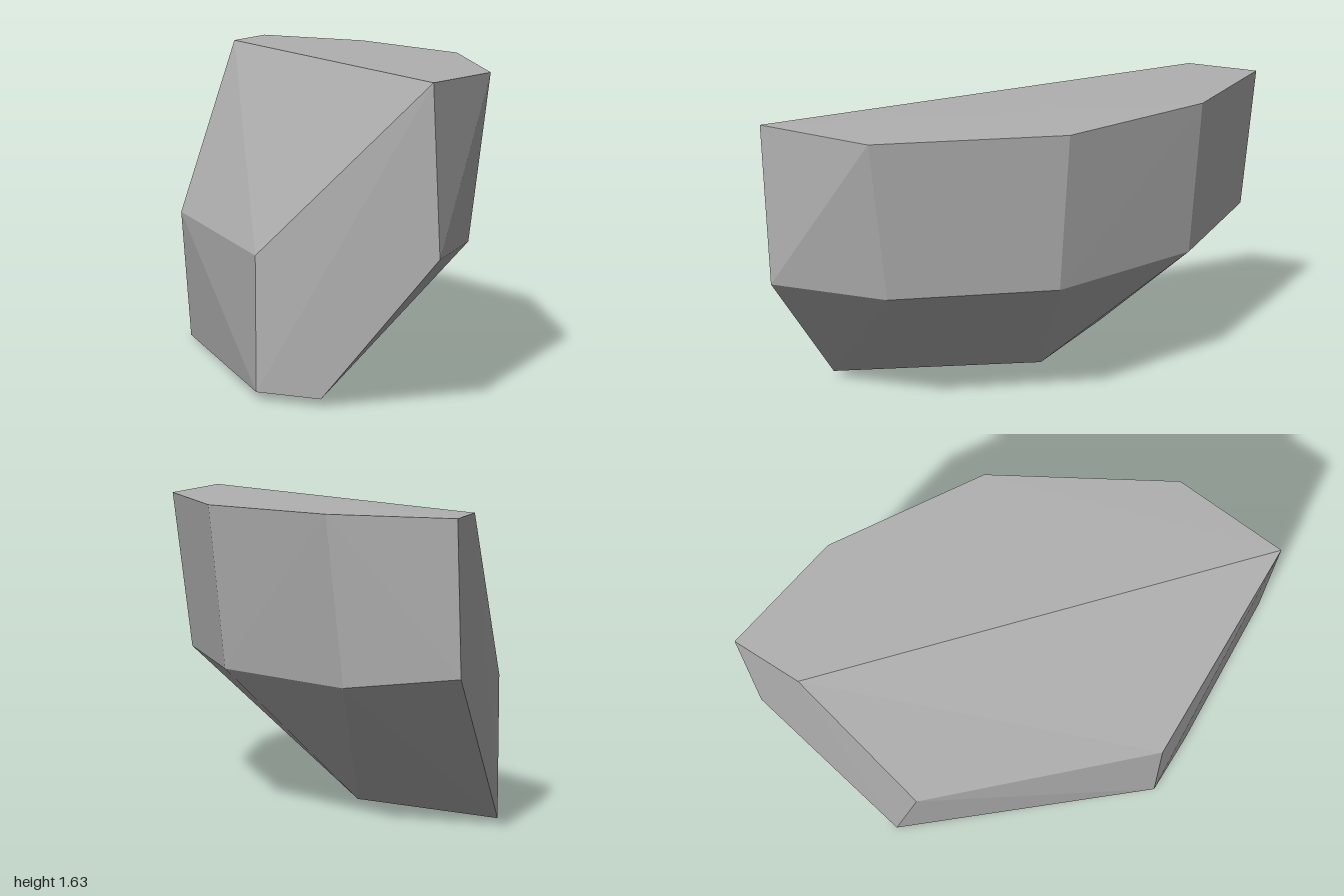
import * as THREE from 'three';
import { ConvexGeometry } from 'three/addons/geometries/ConvexGeometry.js';

export function createModel() {
  const group = new THREE.Group();
  group.name = 'rock';

  const stone = new THREE.MeshStandardMaterial({ color: 0xb0b0b0 });
  stone.name = 'grey stone';

  // Corner rings of the faceted boulder
  const top = [
    [-0.95, 1.62, -1.0], [-0.28, 1.62, -0.91], [0.47, 1.62, -0.47],
    [0.98, 1.62, 0.38], [0.93, 1.63, 1.0], [-0.95, 1.62, -0.62],
  ];
  const middle = [
    [-0.96, 0.85, -0.94], [-0.35, 0.765, -0.84], [0.41, 0.765, -0.4],
    [0.863, 0.765, 0.355], [0.955, 0.79, 0.965], [-0.02, 0.73, 0.965], [-0.95, 0.73, 0.03],
  ];
  const base = [
    [-0.98, 0, -0.12], [-0.21, 0.04, -0.05], [0.33, 0.04, 0.955], [-0.02, 0.04, 0.965],
  ];

  // Flat facets stretched around all the corners
  const corners = [...top, ...middle, ...base].map((p) => new THREE.Vector3(...p));
  const boulder = new THREE.Mesh(new ConvexGeometry(corners), stone);
  boulder.name = 'boulder';
  group.add(boulder);

  return group;
}
